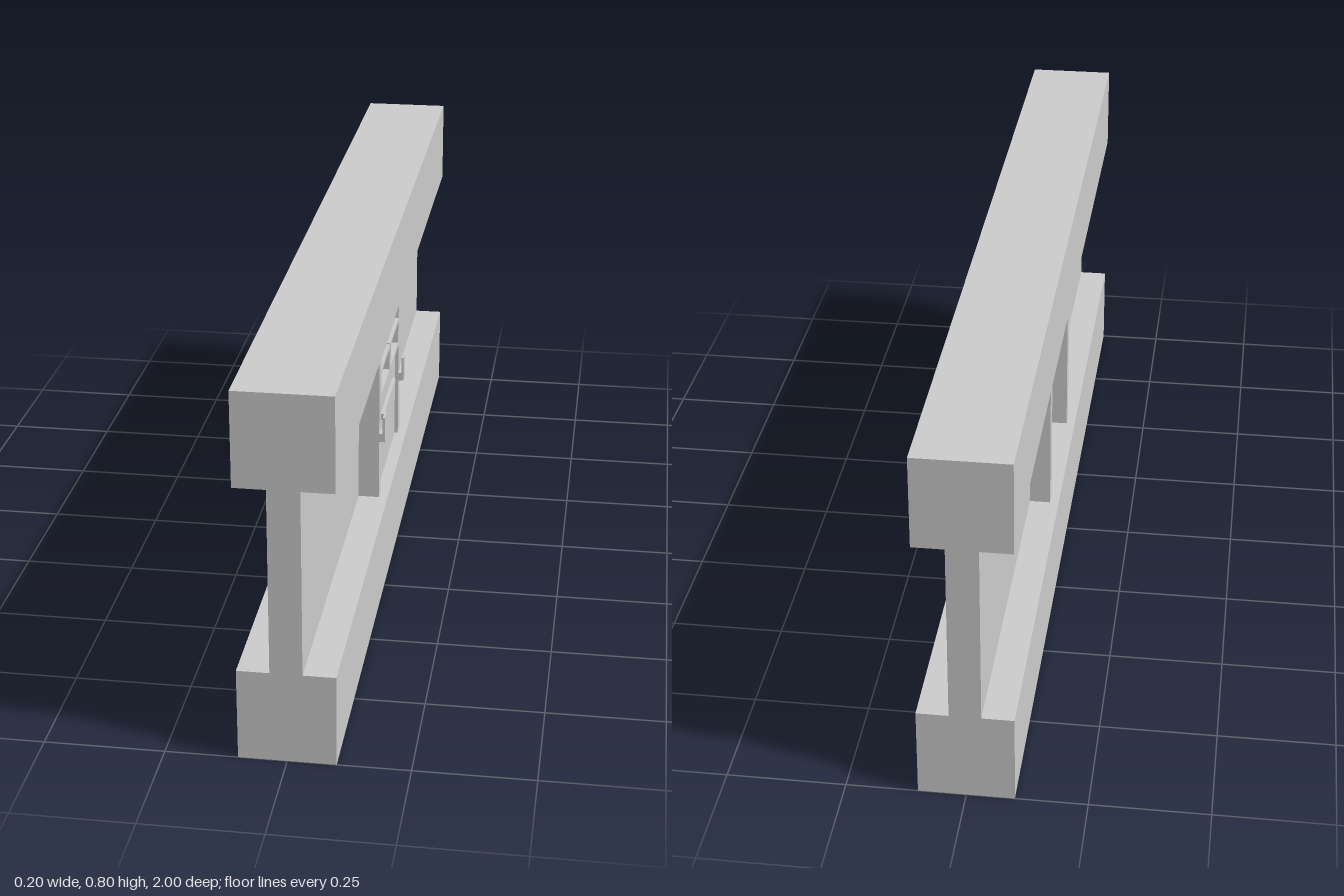
import * as THREE from 'three';

const material = new THREE.MeshStandardMaterial({ color: 0xcccccc, flatShading: true });

// Box given by its limits on each axis
function box(name, [x0, x1], [y0, y1], [z0, z1]) {
  const mesh = new THREE.Mesh(new THREE.BoxGeometry(x1 - x0, y1 - y0, z1 - z0), material);
  mesh.position.set((x0 + x1) / 2, (y0 + y1) / 2, (z0 + z1) / 2);
  mesh.name = name;
  return mesh;
}

// Corners of a rectangle in the z-y plane (drawn with u = -z)
function rect([y0, y1], [z0, z1]) {
  return [[-z1, y0], [-z0, y0], [-z0, y1], [-z1, y1]].map(([u, v]) => new THREE.Vector2(u, v));
}

// Upright slab with a rectangular hole, extruded along x
function slabWithHole(name, [x0, x1], outer, inner) {
  const shape = new THREE.Shape(outer);
  shape.holes.push(new THREE.Path(inner.slice().reverse()));
  const geometry = new THREE.ExtrudeGeometry(shape, { depth: x1 - x0, bevelEnabled: false });
  geometry.rotateY(Math.PI / 2);
  geometry.translate(x0, 0, 0);
  const mesh = new THREE.Mesh(geometry, material);
  mesh.name = name;
  return mesh;
}

export function createModel() {
  const model = new THREE.Group();
  model.name = 'wallWithDoubleDoor';

  // Thick base and header running the full length
  model.add(box('baseBeam', [-0.1, 0.1], [0, 0.2], [-1, 1]));
  model.add(box('topBeam', [-0.1, 0.1], [0.6, 0.8], [-1, 1]));

  // Lintel over the doorway
  model.add(box('lintel', [-0.08, 0.08], [0.57, 0.6], [-0.165, 0.165]));

  for (const s of [1, -1]) {
    const side = s > 0 ? 'front' : 'back';
    const span = (a, b) => (s > 0 ? [a, b] : [-b, -a]);

    // Wall panel and door jamb
    model.add(box(side + 'WallPanel', [-0.033, 0.033], [0.2, 0.6], span(0.197, 1)));
    model.add(box(side + 'Jamb', [-0.08, 0.08], [0.2, 0.6], span(0.165, 0.197)));

    // Door leaf with a window through it, a raised rim and push bars on both faces
    const hole = rect([0.442, 0.495], span(0.01, 0.158));
    const leaf = new THREE.Group();
    leaf.name = side + 'DoorLeaf';
    leaf.add(slabWithHole('leafPanel', [0, 0.072], rect([0.2, 0.57], span(0, 0.165)), hole));
    leaf.add(slabWithHole('windowRim', [-0.005, 0.08], rect([0.432, 0.503], span(0.002, 0.165)), hole));
    leaf.add(box('outerBar', [0.072, 0.08], [0.355, 0.37], span(0, 0.107)));
    leaf.add(box('innerBar', [-0.008, 0], [0.355, 0.37], span(0, 0.107)));
    model.add(leaf);

    // Hook for a crossbar on the jamb
    const hook = new THREE.Group();
    hook.name = side + 'BarHook';
    hook.add(box('hookArm', [0.08, 0.088], [0.34, 0.36], span(0.165, 0.197)));
    hook.add(box('hookLip', [0.088, 0.093], [0.34, 0.4], span(0.165, 0.197)));
    model.add(hook);
  }
  return model;
}
